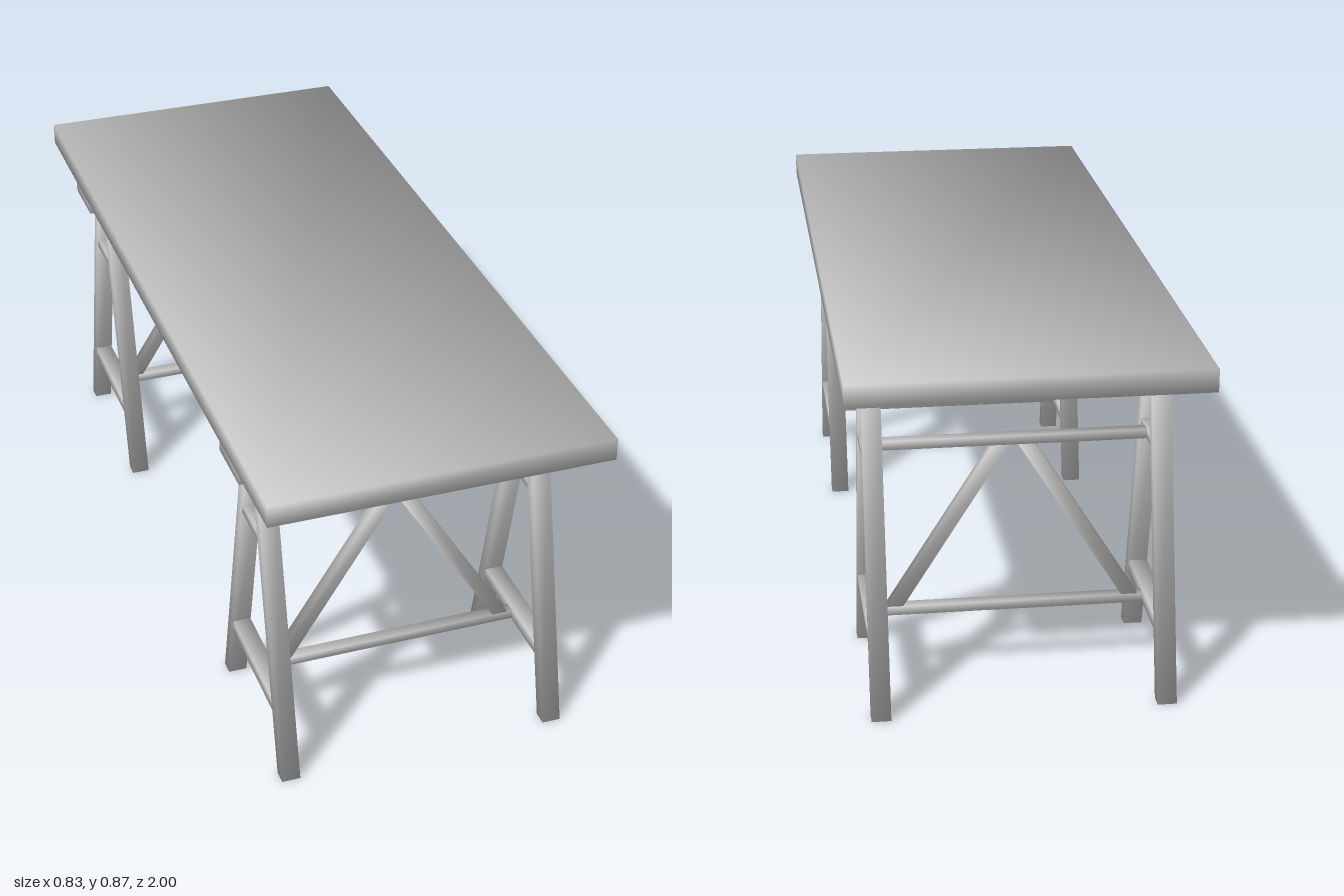
import * as THREE from 'three';

const material = new THREE.MeshStandardMaterial({ color: 0xcccccc });

// Box with soft corner normals; its top is shifted by leanX / leanZ so the ends stay level.
function block(name, [w, h, d], [x, y, z], leanX = 0, leanZ = 0) {
  const geometry = new THREE.BoxGeometry(w, h, d);
  const p = geometry.attributes.position;
  const n = geometry.attributes.normal;
  const k = 1 / Math.sqrt(3);
  for (let i = 0; i < p.count; i++) {
    n.setXYZ(i, Math.sign(p.getX(i)) * k, Math.sign(p.getY(i)) * k, Math.sign(p.getZ(i)) * k);
    const t = p.getY(i) / h;
    p.setXYZ(i, p.getX(i) + leanX * t, p.getY(i), p.getZ(i) + leanZ * t);
  }
  const mesh = new THREE.Mesh(geometry, material);
  mesh.name = name;
  mesh.position.set(x, y, z);
  return mesh;
}

function createTrestle() {
  const trestle = new THREE.Group();
  trestle.name = 'trestle';

  // Top beam carrying the board
  trestle.add(block('topBeam', [0.82, 0.041, 0.15], [0, 0.7925, 0]));

  for (const sx of [-1, 1]) {
    // Splayed pair of legs
    for (const sz of [-1, 1]) {
      trestle.add(block('leg', [0.046, 0.775, 0.036], [sx * 0.34, 0.3875, sz * 0.128], 0, -sz * 0.18));
    }
    // Short rails joining the two legs of a pair
    trestle.add(block('lowerSideRail', [0.044, 0.034, 0.35], [sx * 0.34, 0.18, 0]));
    trestle.add(block('upperSideRail', [0.044, 0.024, 0.15], [sx * 0.34, 0.605, 0]));
    // Diagonal brace rising towards the middle
    trestle.add(block('diagonalBrace', [0.04, 0.42, 0.027], [sx * 0.158, 0.39, 0], -sx * 0.264));
  }

  // Long stretchers between the leg pairs
  trestle.add(block('lowerStretcher', [0.66, 0.022, 0.03], [0, 0.176, 0]));
  trestle.add(block('upperStretcher', [0.66, 0.022, 0.03], [0, 0.604, 0]));
  return trestle;
}

export function createModel() {
  const table = new THREE.Group();
  table.name = 'trestleTable';

  // Board
  table.add(block('tableTop', [0.834, 0.055, 2], [0, 0.8405, 0]));

  // Matching trestles near both ends
  for (const sz of [-1, 1]) {
    const trestle = createTrestle();
    trestle.position.z = sz * 0.692;
    table.add(trestle);
  }
  return table;
}
